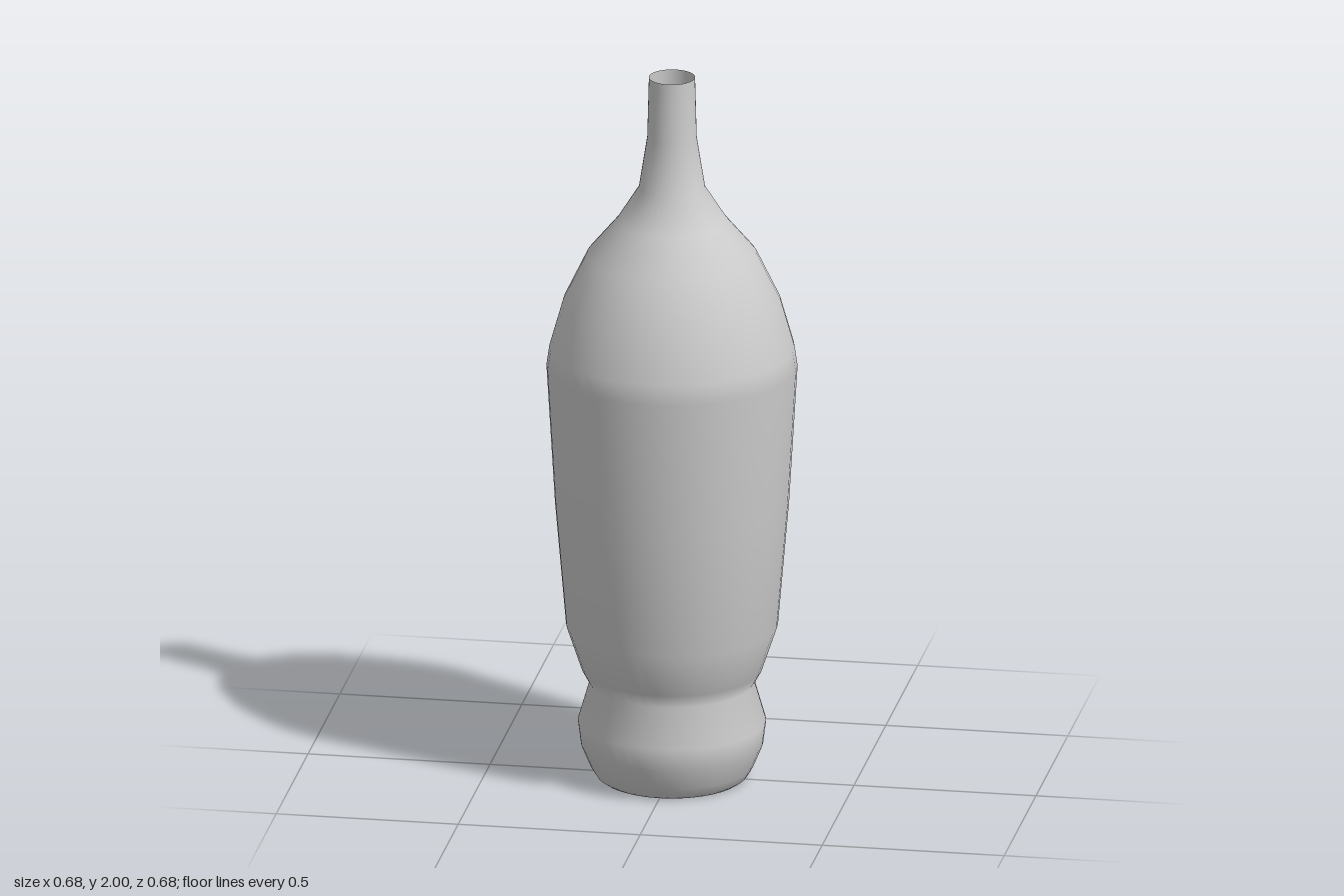
import * as THREE from 'three';

export function createModel() {
  const group = new THREE.Group();
  group.name = 'bottle';

  // Outline from the centre of the base up to the open mouth: [radius, height]
  const outline = [
    [0, 0], [0.17, 0], [0.195, 0], [0.206, 0.008], [0.222, 0.035],
    [0.247, 0.095], [0.255, 0.16],                       // rounded foot
    [0.223, 0.27], [0.245, 0.31],                        // waist
    [0.287, 0.435], [0.317, 0.785], [0.34, 1.175],       // body
    [0.332, 1.23], [0.295, 1.36], [0.23, 1.495], [0.15, 1.59], // shoulder
    [0.09, 1.685], [0.067, 1.83], [0.0625, 2],           // neck
  ].map(([r, y]) => new THREE.Vector2(r, y));

  // Thin open shell, seen from both sides
  const material = new THREE.MeshStandardMaterial({ color: 0xcccccc, side: THREE.DoubleSide });
  const shell = new THREE.Mesh(new THREE.LatheGeometry(outline, 40), material);
  shell.name = 'bottleShell';
  group.add(shell);
  return group;
}
